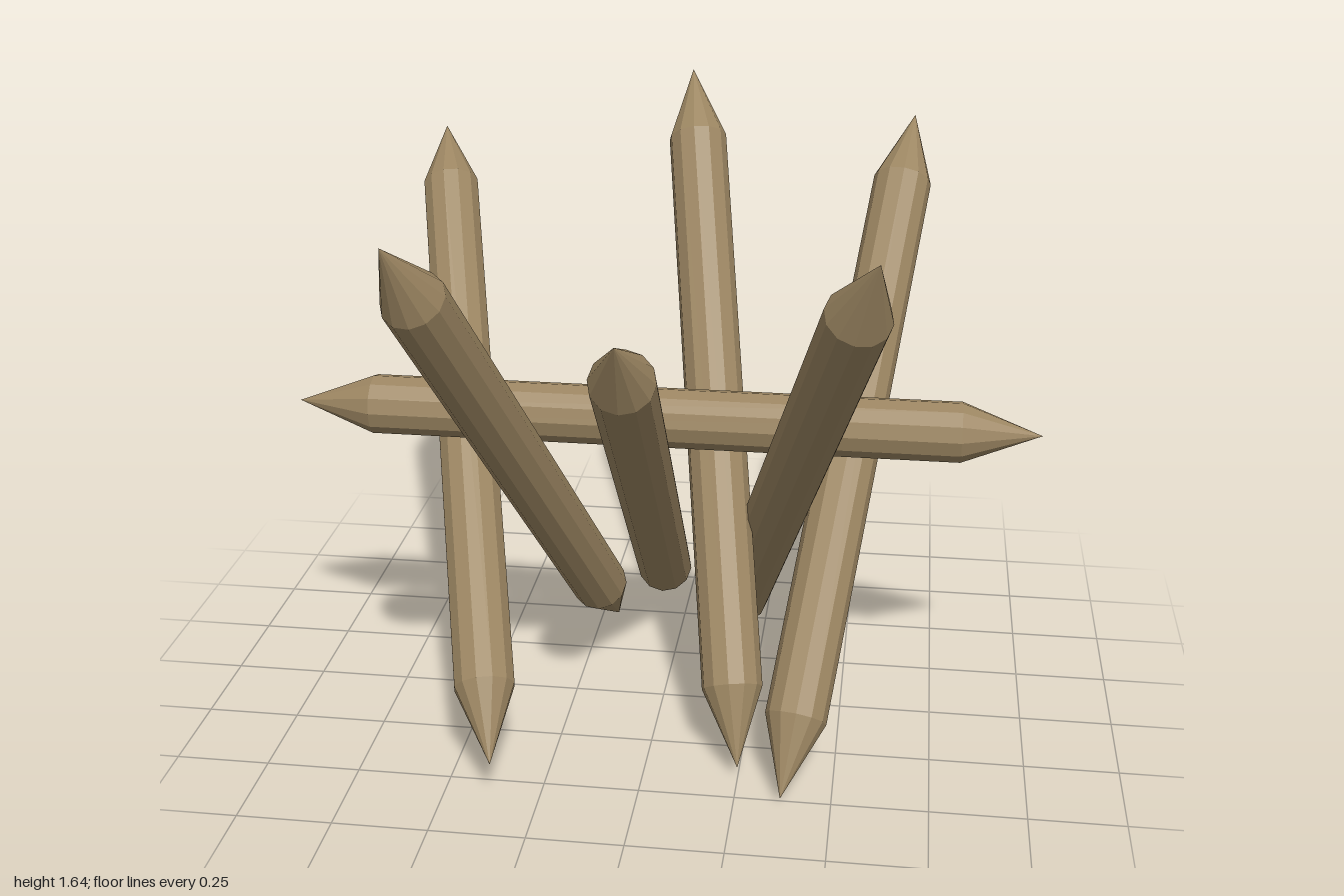
import * as THREE from 'three';

const RADIUS = 0.081;
const TIP = 0.21;

// A straight pole sharpened at both ends, running from point a to point b
function makeStake(name, a, b, material) {
  const start = new THREE.Vector3(...a);
  const end = new THREE.Vector3(...b);
  const half = start.distanceTo(end) / 2;
  const profile = [
    new THREE.Vector2(0, -half),
    new THREE.Vector2(RADIUS, -half + TIP),
    new THREE.Vector2(RADIUS, half - TIP),
    new THREE.Vector2(0, half),
  ];
  const stake = new THREE.Mesh(new THREE.LatheGeometry(profile, 12), material);
  stake.name = name;
  stake.position.copy(start).add(end).multiplyScalar(0.5);
  stake.quaternion.setFromUnitVectors(
    new THREE.Vector3(0, 1, 0),
    end.clone().sub(start).normalize()
  );
  return stake;
}

export function createModel() {
  const group = new THREE.Group();
  group.name = 'stakeBarricade';
  const wood = new THREE.MeshStandardMaterial({ color: 0x9c8662, flatShading: true });

  // Name, lower point, upper point
  const stakes = [
    // Leaning towards the back
    ['backStakeRight', [-0.37, 0.11, 0.6], [-0.77, 1.43, -0.83]],
    ['backStakeMiddle', [0.25, 0.04, 0.42], [-0.01, 1.64, -0.73]],
    ['backStakeLeft', [0.37, 0.02, 0.52], [0.63, 1.52, -0.76]],
    // Leaning towards the front
    ['frontStakeRight', [-0.2, 0.01, -0.46], [-0.53, 1.53, 0.78]],
    ['frontStakeMiddle', [-0.07, 0.02, -0.66], [0.0, 1.34, 0.83]],
    ['frontStakeLeft', [0.14, 0.0, -0.45], [0.57, 1.53, 0.76]],
    // Bar resting in the crossings
    ['crossBar', [-1, 0.855, 0.015], [1, 0.855, 0.015]],
  ];
  for (const [name, low, high] of stakes) group.add(makeStake(name, low, high, wood));

  return group;
}
